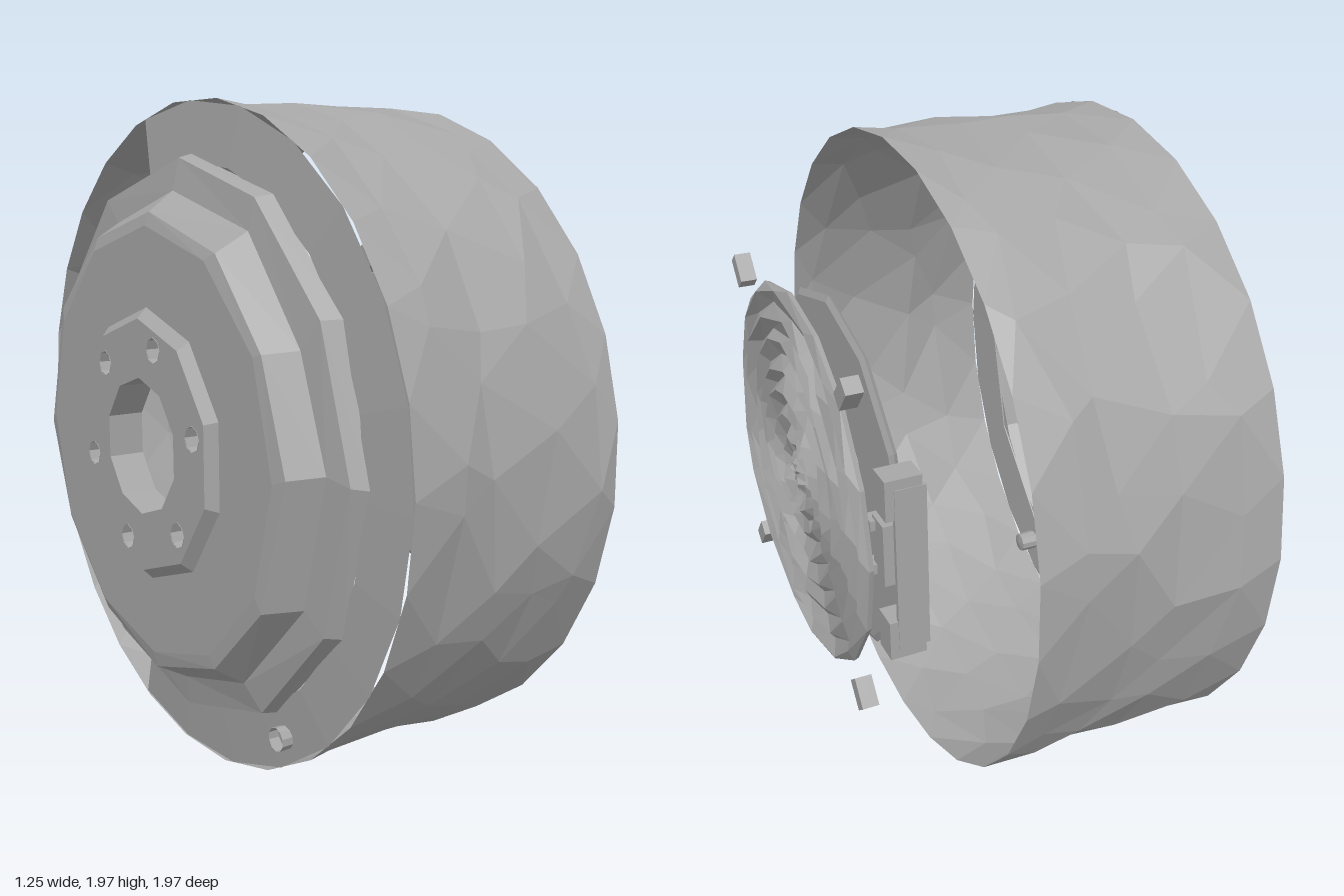
import * as THREE from 'three';

// Small seeded generator for the uneven, hand-cut facets
let seed = 7;
const rnd = () => {
  seed = (seed * 16807) % 2147483647;
  return (seed / 2147483647) * 2 - 1;
};

const metal = new THREE.MeshStandardMaterial({ color: 0xa6a6a6 });
metal.name = 'cast grey metal';
metal.flatShading = true;
metal.side = THREE.DoubleSide;

// Surface of revolution about the x axis: profile is [x, radius] pairs,
// angle runs from +y towards +z. jitter = [x, radius, angle] on inner rows.
function revolve(profile, seg, { start = 0, length = Math.PI * 2, jitter = [0, 0, 0], stagger = 0, keepEnds = true } = {}) {
  const pos = [], index = [];
  const closed = length > 6.28;
  const cols = closed ? seg : seg + 1;
  profile.forEach(([x, r], i) => {
    const fixed = keepEnds && (i === 0 || i === profile.length - 1);
    const k = fixed ? 0 : 1;
    for (let j = 0; j < cols; j++) {
      const a = start + ((j + stagger * (i % 2)) / seg) * length + k * jitter[2] * rnd();
      const rr = Math.max(0, r + k * jitter[1] * rnd());
      pos.push(x + k * jitter[0] * rnd(), rr * Math.cos(a), rr * Math.sin(a));
    }
  });
  for (let i = 0; i < profile.length - 1; i++) {
    for (let j = 0; j < seg; j++) {
      const n = (j + 1) % cols;
      const a = i * cols + j, b = a + cols, c = i * cols + n, d = c + cols;
      if (i % 2) index.push(a, b, d, a, d, c);
      else index.push(a, b, c, b, d, c);
    }
  }
  const g = new THREE.BufferGeometry();
  g.setAttribute('position', new THREE.Float32BufferAttribute(pos, 3));
  g.setIndex(index);
  const flat = g.toNonIndexed();
  flat.computeVertexNormals();
  return flat;
}

function add(parent, name, geometry, x = 0, y = 0, z = 0) {
  const m = new THREE.Mesh(geometry, metal);
  m.name = name;
  m.position.set(x, y, z);
  parent.add(m);
  return m;
}

// Flat polygon plate with round holes, facing -x; shape axes are (z, y)
function plate(radius, seg, holes) {
  const ring = (r, n, cz = 0, cy = 0) => Array.from({ length: n }, (_, i) => {
    const a = (i / n) * Math.PI * 2;
    return new THREE.Vector2(cz + r * Math.sin(a), cy + r * Math.cos(a));
  });
  const shape = new THREE.Shape(ring(radius, seg));
  for (const [r, n, z, y] of holes) shape.holes.push(new THREE.Path(ring(r, n, z, y)));
  return new THREE.ShapeGeometry(shape).rotateY(-Math.PI / 2);
}

export function createModel() {
  seed = 7;
  const root = new THREE.Group();
  root.name = 'brakeDrum';
  const axle = new THREE.Group();
  axle.name = 'axleCentre';
  axle.position.y = 1;
  root.add(axle);

  // Drum wall, open towards +x
  add(axle, 'drumWall', revolve(
    [[0.29, 0.98], [0.19, 0.98], [0.04, 0.975], [-0.13, 0.97], [-0.28, 0.98], [-0.43, 0.985]],
    26, { jitter: [0.04, 0.012, 0.08], stagger: 0.5 }));

  // Outer flange, missing on the -z side
  add(axle, 'outerFlange', revolve([[-0.43, 0.98], [-0.445, 0.81]], 14,
    { start: -0.3, length: 3.82 }));

  // Stepped back of the drum
  add(axle, 'backSteps', revolve(
    [[-0.44, 0.83], [-0.49, 0.81], [-0.505, 0.72], [-0.59, 0.67], [-0.6, 0.63]],
    12, { jitter: [0.006, 0.012, 0.04] }));

  // Hub face with stud holes and centre bore
  const studs = Array.from({ length: 6 }, (_, i) => {
    const a = (i / 6) * Math.PI * 2 + 0.3;
    return [0.3 * Math.sin(a), 0.3 * Math.cos(a)];
  });
  const hubHoles = [[0.2, 10, 0, 0], ...studs.map(([z, y]) => [0.036, 8, z, y])];
  add(axle, 'backFace', plate(0.63, 12, [[0.38, 10, 0, 0]]), -0.6);
  add(axle, 'hubFace', plate(0.37, 10, hubHoles), -0.63);
  add(axle, 'hubEdge', revolve([[-0.6, 0.4], [-0.63, 0.37]], 10));
  add(axle, 'centreBore', revolve([[-0.63, 0.2], [-0.52, 0.2]], 10));

  // Stud sockets closed on the inside, and one small plug in the flange
  const socket = revolve([[-0.632, 0.037], [-0.5, 0.037], [-0.49, 0]], 8);
  studs.forEach(([z, y]) => add(axle, 'studSocket', socket, 0, y, z));
  add(axle, 'flangePlug', revolve([[-0.47, 0.035], [-0.38, 0.033], [-0.375, 0]], 10), 0, -0.78, 0.45);

  // Separate ridged disc in front of the open side
  const disc = new THREE.Group();
  disc.name = 'ridgedDisc';
  axle.add(disc);
  const ridges = [[0.6, 0], [0.605, 0.035]];
  for (let i = 1; i <= 14; i++) ridges.push([i % 2 ? 0.585 : 0.61, 0.035 + i * 0.037]);
  ridges.push([0.59, 0.58]);
  add(disc, 'discFace', revolve(ridges, 16, { jitter: [0.008, 0.009, 0.07], stagger: 0.3 }));
  add(disc, 'discEdge', revolve([[0.59, 0.58], [0.575, 0.575], [0.575, 0.5]], 16));
  add(disc, 'middlePlate', revolve(
    [[0.55, 0.14], [0.55, 0.4], [0.525, 0.4], [0.525, 0.14]], 12));
  add(disc, 'rearPlate', revolve(
    [[0.48, 0.12], [0.48, 0.53], [0.47, 0.55], [0.455, 0.53], [0.455, 0.12]], 12));

  // Four clips around the disc
  for (const sy of [-1, 1]) for (const sz of [-1, 1]) {
    const clip = add(disc, 'discClip', new THREE.BoxGeometry(0.05, 0.09, 0.05),
      0.585, sy * 0.48, sz * 0.475);
    clip.rotation.x = -sy * sz * -0.7;
  }

  // Bracket on the -z side of the disc
  const bracket = new THREE.Group();
  bracket.name = 'sideBracket';
  axle.add(bracket);
  add(bracket, 'bracketPlate', new THREE.BoxGeometry(0.03, 0.56, 0.08), 0.46, 0, -0.57);
  add(bracket, 'bracketSpine', new THREE.BoxGeometry(0.09, 0.5, 0.015), 0.48, 0, -0.605);
  add(bracket, 'bracketPad', new THREE.BoxGeometry(0.04, 0.19, 0.08), 0.51, 0, -0.49);
  for (const s of [-1, 1]) {
    add(bracket, 'bracketLug', new THREE.BoxGeometry(0.08, 0.12, 0.08), 0.51, s * 0.22, -0.57);
    add(bracket, 'bracketTab', new THREE.BoxGeometry(0.05, 0.03, 0.05), 0.52, s * 0.07, -0.45);
  }
  return root;
}
